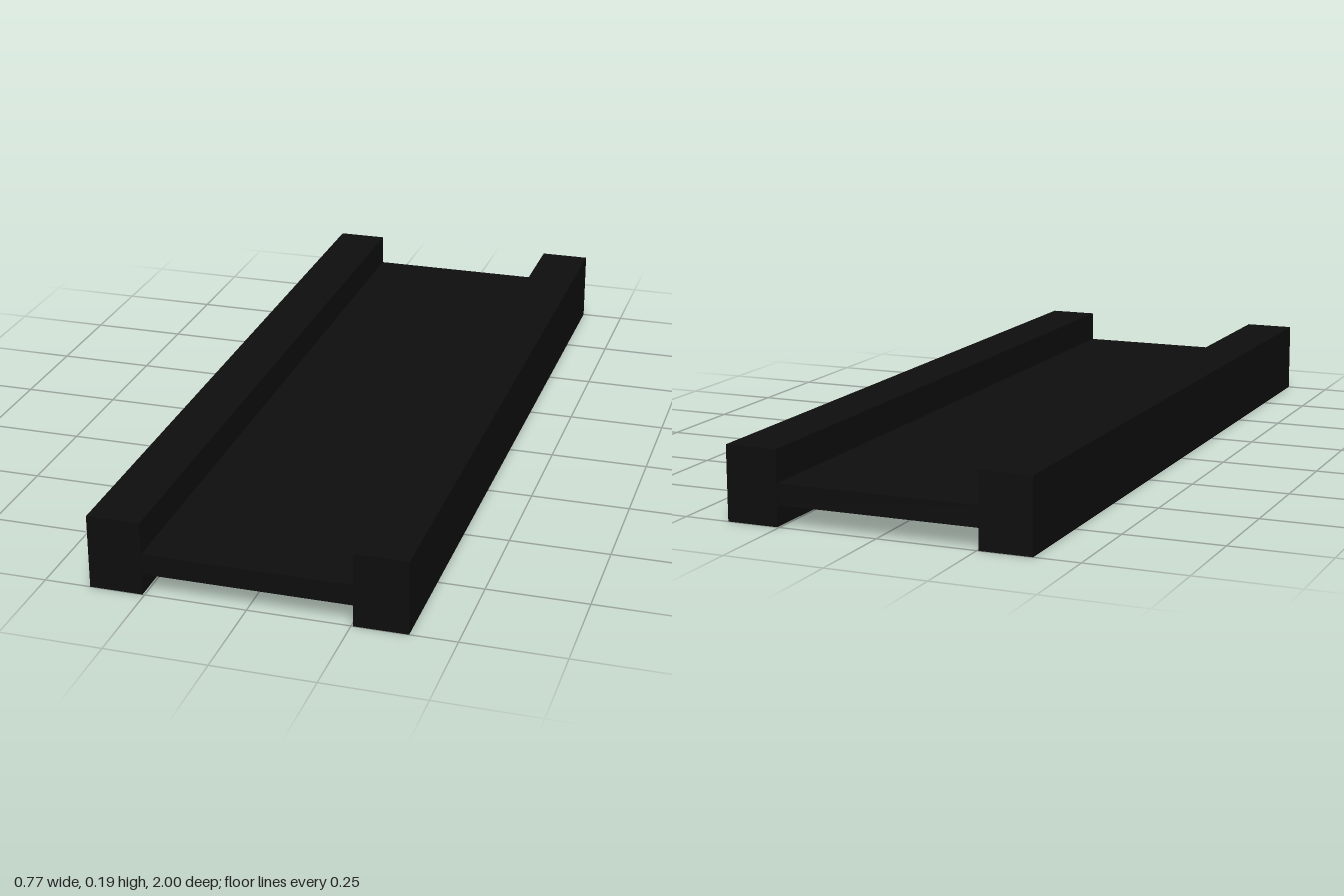
import * as THREE from 'three';

export function createModel() {
  const group = new THREE.Group();
  group.name = 'beam';
  const material = new THREE.MeshStandardMaterial({ color: 0x0d0d0d, flatShading: true });

  const addBox = (name, width, height, depth, x, y) => {
    const mesh = new THREE.Mesh(new THREE.BoxGeometry(width, height, depth), material);
    mesh.name = name;
    mesh.position.set(x, y, 0);
    group.add(mesh);
  };

  // Thin panel joining the rails, ending just short of them
  addBox('centrePanel', 0.512, 0.052, 1.994, 0, 0.078);

  // Side rails
  for (const [name, side] of [['leftRail', 1], ['rightRail', -1]]) {
    addBox(name, 0.131, 0.185, 2, side * 0.3205, 0.0925);
  }

  return group;
}
